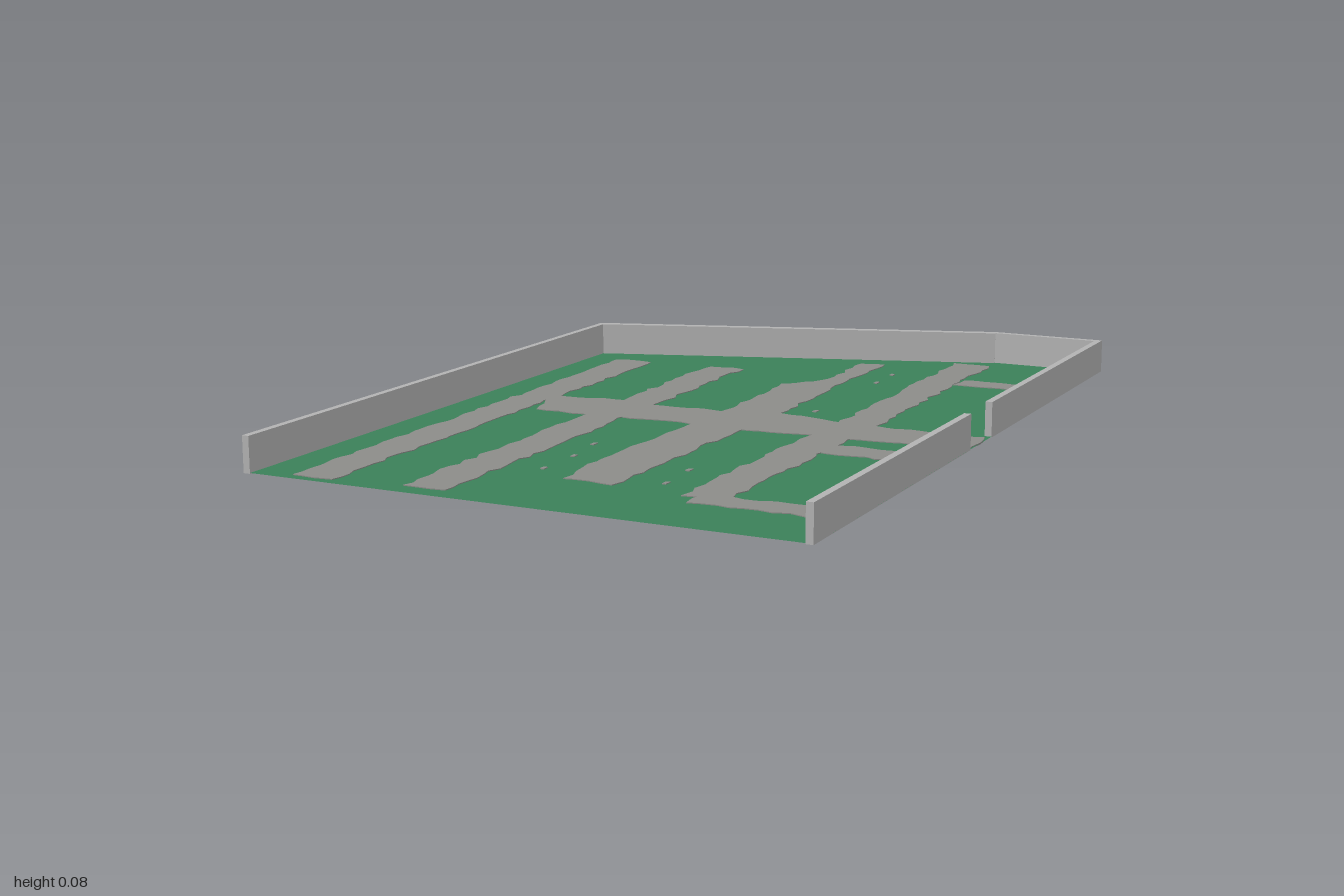
import * as THREE from 'three';

export function createModel() {
  const model = new THREE.Group();
  const mat = (name, color, side) => new THREE.MeshStandardMaterial({ name, color, side });
  const grass = mat('grass green', 0x3b8059, THREE.DoubleSide);
  const path = mat('path grey', 0x8b8b88);
  const concrete = mat('concrete grey', 0xb2b2b2);

  let seed = 7;
  const rand = () => (seed = (seed * 16807) % 2147483647) / 2147483647 - 0.5;

  // Plan points are [x, z]; shapes are drawn with y = -z and laid flat.
  const toShape = pts => new THREE.Shape(pts.map(([x, z]) => new THREE.Vector2(x, -z)));
  const add = (name, geometry, material) => {
    const mesh = new THREE.Mesh(geometry, material);
    mesh.name = name;
    model.add(mesh);
    return mesh;
  };

  // Ground sheet
  const A = [-0.28, -0.97], B = [0.745, -0.785], C = [0.995, -0.65], D = [0.125, 0.965], E = [-1, 0.365];
  const ground = add('ground', new THREE.ShapeGeometry(toShape([A, B, C, D, E])).rotateX(-Math.PI / 2), grass);
  ground.position.y = 0.002;

  // Splits the outline into short steps with ragged edges
  function ragged(pts, amount) {
    const out = [];
    pts.forEach(([x, z], i) => {
      const [x2, z2] = pts[(i + 1) % pts.length];
      const n = Math.max(1, Math.round(Math.hypot(x2 - x, z2 - z) / 0.03));
      for (let k = 0; k < n; k++) {
        out.push([x + (x2 - x) * k / n + rand() * amount, z + (z2 - z) * k / n + rand() * amount]);
      }
    });
    return out;
  }

  // Thin plate showing on both faces of the ground
  function patch(name, pts, amount = 0.014) {
    const g = new THREE.ExtrudeGeometry(toShape(ragged(pts, amount)), { depth: 0.004, bevelEnabled: false });
    add(name, g.rotateX(-Math.PI / 2), path);
  }

  // Straight path of even width
  function strip(name, x1, z1, x2, z2, w, amount) {
    const l = Math.hypot(x2 - x1, z2 - z1);
    const px = -(z2 - z1) / l * w / 2, pz = (x2 - x1) / l * w / 2;
    patch(name, [[x1 + px, z1 + pz], [x1 - px, z1 - pz], [x2 - px, z2 - pz], [x2 + px, z2 + pz]], amount);
  }

  // Long paths and their branches
  strip('firstPath', -0.19, -0.83, -0.855, 0.42, 0.095);
  strip('secondPath', 0.04, -0.72, -0.62, 0.52, 0.095);
  patch('thirdPath', [
    [0.39, -0.76], [0.45, -0.755], [0.44, -0.72], [0.305, -0.475], [0.145, -0.16], [0.04, 0.015], [-0.24, 0.51],
    [-0.34, 0.45], [-0.29, 0.335], [-0.08, -0.04], [0.045, -0.25], [0.17, -0.5], [0.295, -0.56],
  ]);
  strip('fourthPathBack', 0.68, -0.735, 0.29, 0, 0.09);
  strip('fourthPathFront', 0.285, 0, -0.06, 0.62, 0.095);
  strip('backBranch', 0.61, -0.505, 0.8, -0.405, 0.065);
  strip('middleBranch', 0.21, 0.205, 0.41, 0.31, 0.085);
  strip('frontBranch', -0.08, 0.625, 0.165, 0.755, 0.07);

  // Cross path leading out through the gate
  patch('crossPath', [
    [-0.39, -0.385], [-0.21, -0.32], [-0.13, -0.255], [0.03, -0.185], [0.14, -0.16], [0.34, -0.01], [0.58, 0.115],
    [0.52, 0.225], [0.28, 0.115], [0.19, 0.07], [0.055, 0.015], [-0.09, -0.07], [-0.29, -0.16], [-0.43, -0.23],
  ]);

  // Small bare specks in the grass
  for (const [x, z] of [[0.46, -0.62], [0.41, -0.52], [0.23, -0.19], [-0.28, 0.13], [-0.32, 0.24],
    [-0.38, 0.35], [-0.08, 0.38], [-0.13, 0.49]]) {
    strip('speck', x, z, x - 0.008, z + 0.016, 0.01, 0.002);
  }

  // Perimeter walls, thickened towards the inside; points run clockwise in plan
  function wall(name, [x1, z1], [x2, z2], t = 0.016) {
    const dx = x2 - x1, dz = z2 - z1, l = Math.hypot(dx, dz), h = 0.08;
    const mesh = add(name, new THREE.BoxGeometry(l, h, t), concrete);
    mesh.position.set((x1 + x2) / 2 - dz / l * t / 2, h / 2, (z1 + z2) / 2 + dx / l * t / 2);
    mesh.rotation.y = -Math.atan2(dz, dx);
  }
  wall('rightWall', E, A);
  wall('backWall', A, B, 0.022);
  wall('cornerWall', B, C);
  wall('leftWallBack', C, [0.591, 0.1]);
  wall('leftWallFront', [0.526, 0.22], D);

  return model;
}
